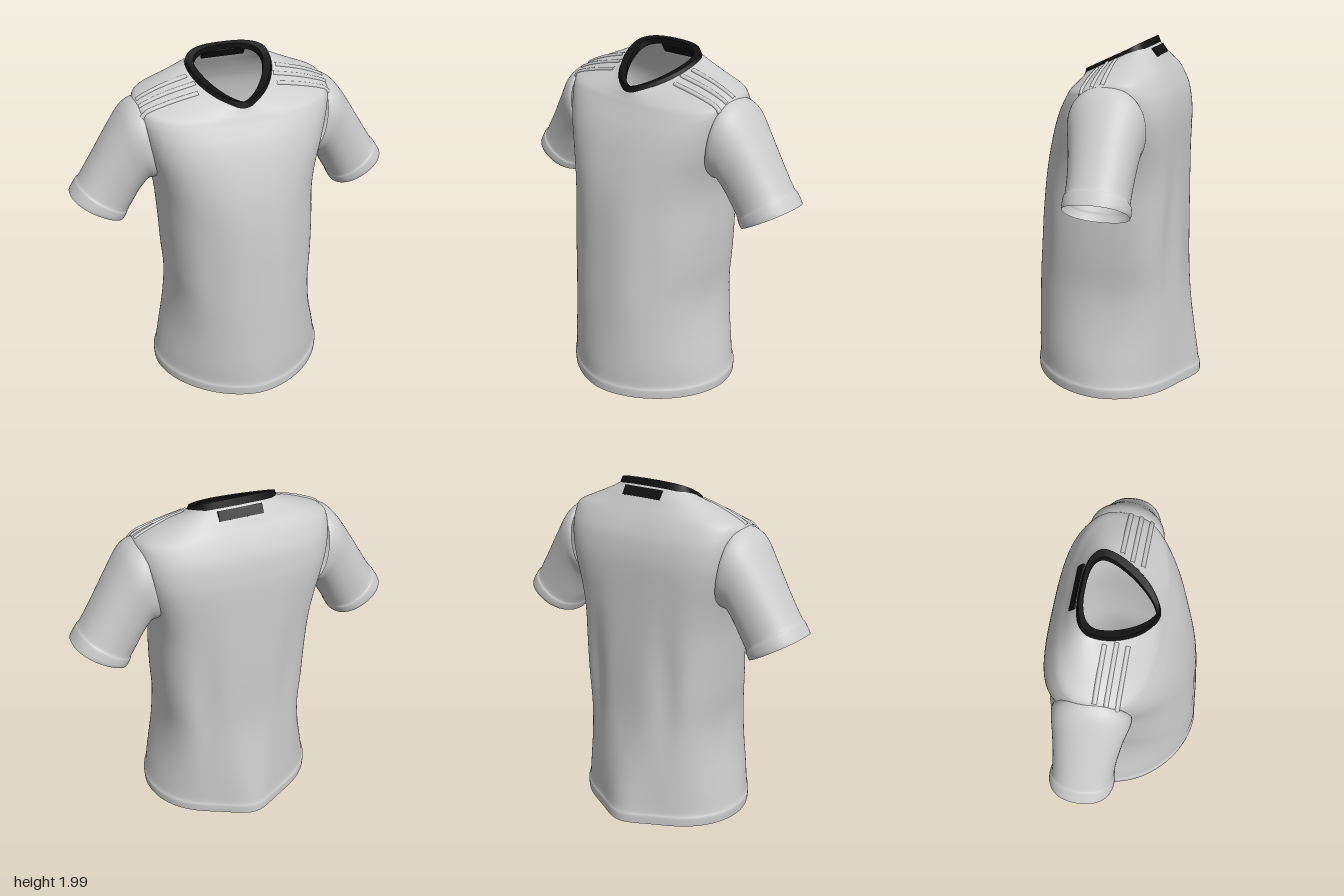
import * as THREE from 'three';
import { toCreasedNormals } from 'three/addons/utils/BufferGeometryUtils.js';

const cloth = new THREE.MeshStandardMaterial({ color: 0xcccccc, side: THREE.DoubleSide });
const dark = new THREE.MeshStandardMaterial({ color: 0x111111, side: THREE.DoubleSide });

// Skin a list of closed rings (arrays of Vector3); skip(centre) leaves holes.
function loft(rings, skip = () => false) {
  const n = rings[0].length, index = [];
  for (let i = 0; i < rings.length - 1; i++) {
    for (let j = 0; j < n; j++) {
      const k = (j + 1) % n;
      const mid = rings[i][j].clone().add(rings[i + 1][k]).multiplyScalar(0.5);
      if (skip(mid)) continue;
      const a = i * n + j, b = i * n + k, c = a + n, d = b + n;
      index.push(a, b, d, a, d, c);
    }
  }
  const geo = new THREE.BufferGeometry().setFromPoints(rings.flat());
  geo.setIndex(index);
  geo.computeVertexNormals();
  return geo;
}

// Smoothly refine rows of numbers.
function refine(rows, steps) {
  const out = [];
  for (let i = 0; i < rows.length - 1; i++) {
    const [a, b, c, d] = [rows[Math.max(i - 1, 0)], rows[i], rows[i + 1], rows[Math.min(i + 2, rows.length - 1)]];
    for (let s = 0; s < steps; s++) {
      const t = s / steps;
      out.push(b.map((v, k) => v + 0.5 * t * (c[k] - a[k]
        + t * (2 * a[k] - 5 * v + 4 * c[k] - d[k] + t * (3 * (v - c[k]) + d[k] - a[k])))));
    }
  }
  out.push(rows[rows.length - 1]);
  return out;
}

const power = (v, p) => Math.sign(v) * Math.pow(Math.abs(v), p);

// Ring through side, front and back points; separate front and back roundness.
function bodyRing([xs, ys, zs, yF, zF, yB, zB, pF, pB], n = 128) {
  return Array.from({ length: n }, (_, j) => {
    const t = (j / n) * Math.PI * 2, s = Math.sin(t), c = Math.cos(t);
    const front = c >= 0, p = front ? pF : pB, w = Math.pow(Math.abs(c), p);
    return new THREE.Vector3(
      power(s, p) * xs,
      ys + ((front ? yF : yB) - ys) * w,
      zs + ((front ? zF : zB) - zs) * w);
  });
}

// Soft vertical folds, a flare at the back of the hem, and a slight lean of the lower body.
function drape(p) {
  const bump = (v, c, w) => Math.exp(-(((v - c) / w) ** 2));
  const window = bump(p.y, 0.85, 0.4);
  const flare = 1 - THREE.MathUtils.smoothstep(p.y, 0, 0.7);
  if (p.z < -0.15) {
    p.z += window * 0.03 * (bump(p.x, 0.25, 0.08) + bump(p.x, -0.25, 0.08));
    p.z -= flare * 0.065 * bump(p.x, 0, 0.15);
  }
  if (p.z > 0.15) p.z -= window * (0.02 * bump(p.x, 0.28, 0.09) + 0.012 * bump(p.x, -0.25, 0.08));
  p.x += 0.012 * (1 - THREE.MathUtils.smoothstep(p.y, 0.9, 1.4));
  return p;
}

function makeTorso() {
  // y, half width, side z, front z, back z, front and back roundness
  const lower = [
    [0.012, 0.522, 0, 0.497, -0.432, 1.12, 0.95],
    [0.06, 0.524, 0, 0.498, -0.432, 1.12, 0.95],
    [0.09, 0.513, 0, 0.491, -0.424, 1.12, 0.95],
    [0.2, 0.49, 0, 0.488, -0.418, 1.05, 0.9],
    [0.4, 0.445, -0.01, 0.476, -0.411, 0.92, 0.8],
    [0.6, 0.422, -0.02, 0.465, -0.406, 0.82, 0.72],
    [0.8, 0.434, -0.03, 0.452, -0.402, 0.82, 0.7],
    [1.0, 0.442, -0.04, 0.438, -0.4, 0.83, 0.7],
    [1.2, 0.449, -0.055, 0.417, -0.395, 0.83, 0.68],
    [1.35, 0.472, -0.06, 0.387, -0.39, 0.8, 0.65],
    [1.5, 0.51, -0.065, 0.34, -0.385, 0.74, 0.62],
    [1.6, 0.532, -0.065, 0.298, -0.377, 0.7, 0.61],
  ].map(([y, x, zs, zF, zB, pF, pB]) => [x, y, zs, y, zF, y, zB, pF, pB]);
  // half width, side y and z, front y and z, back y and z, roundness
  const upper = [
    [0.546, 1.68, -0.06, 1.66, 0.266, 1.7, -0.357, 0.7, 0.62],
    [0.552, 1.745, -0.05, 1.7, 0.243, 1.77, -0.328, 0.73, 0.65],
    [0.54, 1.793, -0.04, 1.73, 0.227, 1.825, -0.298, 0.8, 0.69],
    [0.45, 1.838, -0.04, 1.75, 0.216, 1.87, -0.27, 0.92, 0.74],
    [0.36, 1.873, -0.05, 1.765, 0.209, 1.91, -0.246, 1.02, 0.75],
    [0.275, 1.907, -0.075, 1.78, 0.203, 1.95, -0.218, 1.12, 0.75],
    [0.235, 1.927, -0.09, 1.793, 0.196, 1.98, -0.197, 1.18, 0.75],
  ];
  const rings = refine([...lower, ...upper], 4).map((r) => bodyRing(r).map(drape));
  // openings into the sleeves
  const inArmhole = (p) => Math.abs(p.x) > 0.4
    && ((p.z + 0.065) / 0.17) ** 2 + ((p.y - 1.55) / 0.18) ** 2 < 1;
  return loft(rings, inArmhole);
}

function makeSleeve() {
  // outer x, y, inner x, y, half depth, centre z, sideways lean of the middle
  const rows = [
    [0.525, 1.78, 0.45, 1.34, 0.208, -0.063, 0.015],
    [0.548, 1.787, 0.468, 1.33, 0.212, -0.063, 0.02],
    [0.615, 1.745, 0.5, 1.325, 0.205, -0.065, 0.012],
    [0.7, 1.628, 0.545, 1.27, 0.188, -0.07, 0],
    [0.8, 1.467, 0.585, 1.195, 0.173, -0.075, 0],
    [0.878, 1.343, 0.617, 1.14, 0.169, -0.077, 0],
    [0.897, 1.323, 0.624, 1.122, 0.177, -0.078, 0],
    [0.926, 1.28, 0.636, 1.1, 0.179, -0.079, 0],
    [0.938, 1.26, 0.643, 1.087, 0.174, -0.079, 0],
  ];
  const n = 64;
  return loft(refine(rows, 4).map(([ox, oy, ix, iy, hz, zc, lean]) =>
    Array.from({ length: n }, (_, j) => {
      const t = (j / n) * Math.PI * 2, c = power(Math.cos(t), 0.9), s = power(Math.sin(t), 0.9);
      return new THREE.Vector3(
        (ox + ix) / 2 + (c * (ox - ix)) / 2 + lean * s * s,
        (oy + iy) / 2 + (c * (oy - iy)) / 2,
        zc + s * hz);
    })));
}

function makeCollar() {
  const section = [
    [0.25, 1.907, -0.09, 1.776, 0.208, 1.962, -0.214, 1.2, 0.75],
    [0.236, 1.945, -0.09, 1.81, 0.2, 2.0, -0.2, 1.22, 0.75],
    [0.197, 1.938, -0.09, 1.806, 0.184, 1.99, -0.18, 1.38, 0.78],
    [0.192, 1.9, -0.09, 1.78, 0.182, 1.96, -0.183, 1.38, 0.78],
  ];
  return toCreasedNormals(loft([...section, section[0]].map((r) => bodyRing(r, 96))), 0.7);
}

export function createModel() {
  const shirt = new THREE.Group();
  shirt.name = 'shirt';
  const add = (name, geo, mat = cloth) => {
    const mesh = new THREE.Mesh(geo, mat);
    mesh.name = name;
    shirt.add(mesh);
    return mesh;
  };

  const torso = add('torso', makeTorso());
  const sleeveGeo = makeSleeve();
  const leftSleeve = add('leftSleeve', sleeveGeo);
  const rightSleeve = add('rightSleeve', sleeveGeo);
  rightSleeve.scale.x = -1;
  add('collar', makeCollar(), dark);

  // small patch through the back of the neck
  const patch = add('neckPatch', new THREE.BoxGeometry(0.25, 0.055, 0.018), dark);
  patch.position.set(0.012, 1.925, -0.229);
  patch.rotation.x = 0.55;

  // raised shoulder stripes laid over the cloth
  const ray = new THREE.Raycaster();
  const down = new THREE.Vector3(0, -1, 0);
  shirt.updateMatrixWorld(true);
  for (const side of [1, -1]) {
    for (const z of [-0.042, 0.015, 0.072]) {
      const points = [];
      for (let i = 0; i <= 10; i++) {
        const x = side * (0.222 + (i / 10) * 0.313);
        ray.set(new THREE.Vector3(x, 3, z), down);
        const hit = ray.intersectObjects([torso, leftSleeve, rightSleeve])[0];
        if (hit) points.push(hit.point.setY(hit.point.y - 0.006));
      }
      const path = new THREE.CatmullRomCurve3(points);
      add(side > 0 ? 'leftShoulderStripe' : 'rightShoulderStripe', new THREE.TubeGeometry(path, 28, 0.014, 10));
    }
  }
  return shirt;
}
